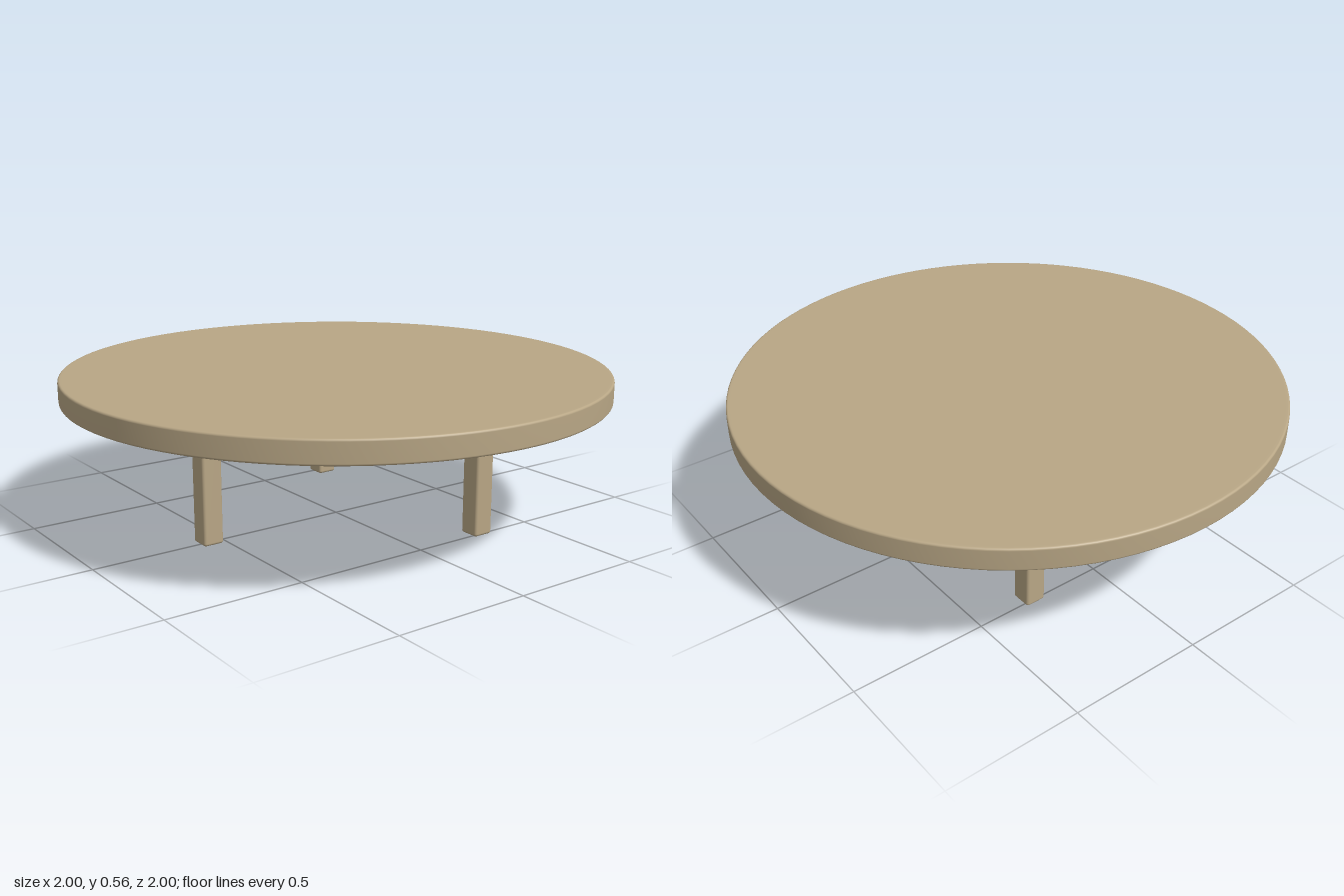
import * as THREE from 'three';
import { RoundedBoxGeometry } from 'three/addons/geometries/RoundedBoxGeometry.js';

const TOP = 0.563, UNDERSIDE = 0.48, RADIUS = 1, BEVEL = 0.008;
const LEG_WIDTH = 0.077, LEG_RING = 0.555;

// Round disc with softly rounded rims
function discGeometry() {
  const points = [new THREE.Vector2(0, UNDERSIDE), new THREE.Vector2(RADIUS - BEVEL - 0.01, UNDERSIDE)];
  const rim = (cy, start) => {
    for (let i = 0; i <= 4; i++) {
      const a = start + (i / 4) * Math.PI / 2;
      points.push(new THREE.Vector2(RADIUS - BEVEL + BEVEL * Math.cos(a), cy + BEVEL * Math.sin(a)));
    }
  };
  rim(UNDERSIDE + BEVEL, -Math.PI / 2);
  rim(TOP - BEVEL, 0);
  points.push(new THREE.Vector2(RADIUS - BEVEL - 0.01, TOP), new THREE.Vector2(0, TOP));
  return new THREE.LatheGeometry(points, 96);
}

export function createModel() {
  const table = new THREE.Group();
  table.name = 'roundTable';
  const wood = new THREE.MeshStandardMaterial({ color: 0xb8a685 });
  wood.name = 'paleWood';

  const top = new THREE.Mesh(discGeometry(), wood);
  top.name = 'tabletop';
  table.add(top);

  // Three square legs, evenly spaced on a ring, all facing the same way
  const legGeometry = new RoundedBoxGeometry(LEG_WIDTH, UNDERSIDE, LEG_WIDTH, 4, 0.01);
  ['frontLeg', 'backLeftLeg', 'backRightLeg'].forEach((name, i) => {
    const angle = (i / 3) * Math.PI * 2;
    const leg = new THREE.Mesh(legGeometry, wood);
    leg.name = name;
    leg.position.set(LEG_RING * Math.sin(angle), UNDERSIDE / 2, LEG_RING * Math.cos(angle));
    table.add(leg);
  });
  return table;
}
